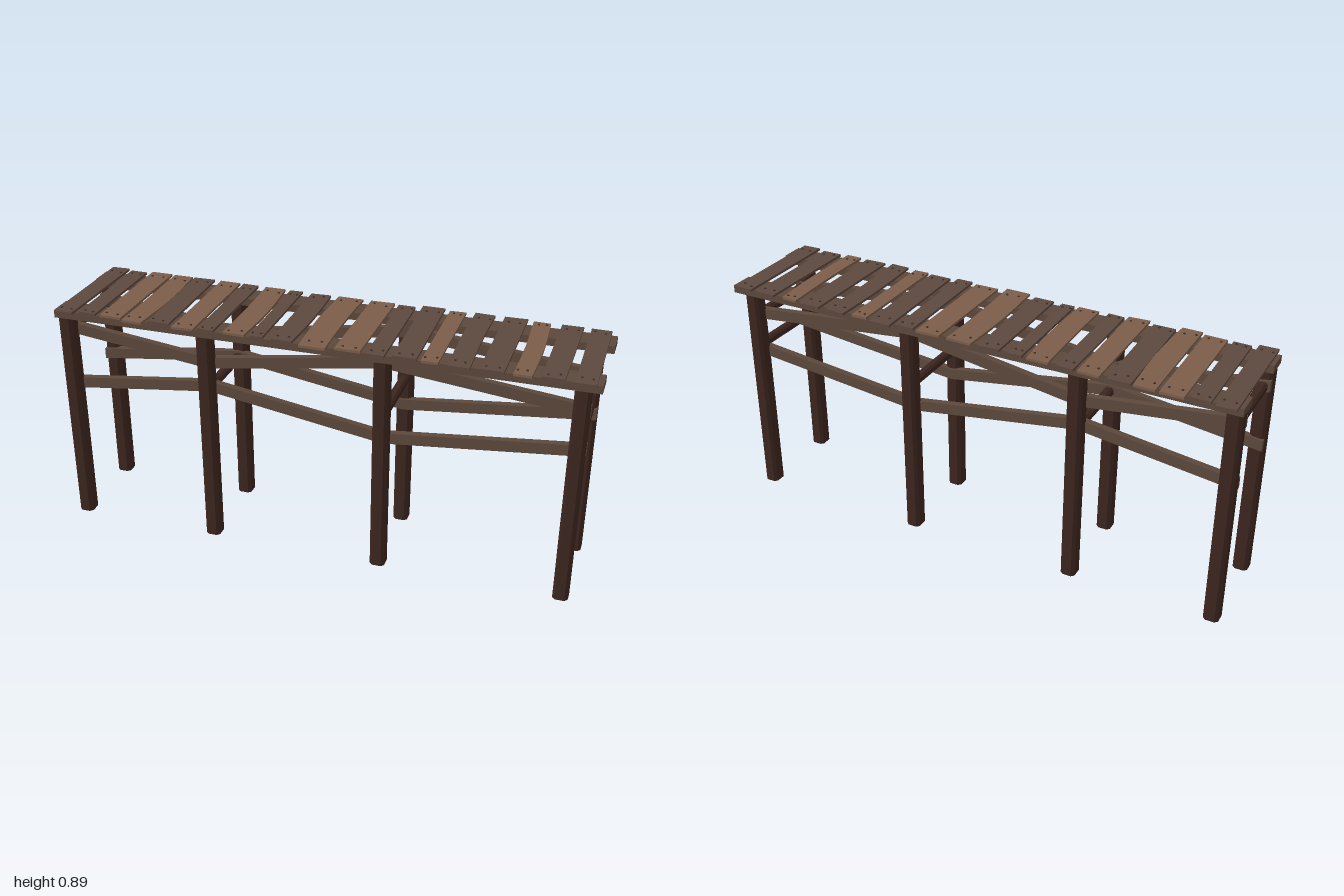
import * as THREE from 'three';

const mat = (color) => new THREE.MeshStandardMaterial({ color, flatShading: true });
const postMat = mat(0x3c251f);
const beamMat = mat(0x5c483c);
const darkPlankMat = mat(0x5c483e);
const lightPlankMat = mat(0x7b5d49);
const nailMat = mat(0x3a302b);

const postX = [-0.968, -0.415, 0.25, 0.936];
const postZ = [0.164, -0.168];

// Deck planks: middle x and width, in order along the pier
const planks = [
  [-0.95, 0.07], [-0.863, 0.066], [-0.768, 0.084], [-0.675, 0.076], [-0.583, 0.084],
  [-0.477, 0.08], [-0.393, 0.062], [-0.288, 0.08], [-0.204, 0.05], [-0.105, 0.076],
  [0.012, 0.096], [0.136, 0.092], [0.234, 0.064], [0.333, 0.084], [0.424, 0.06],
  [0.525, 0.074], [0.636, 0.084], [0.735, 0.062], [0.839, 0.078], [0.943, 0.072],
];
const lightPlanks = [2, 3, 5, 7, 10, 11, 14, 17];
const bentPlanks = [3, 7, 9, 10, 15, 17];

let seed = 7;
const jitter = (size) => {
  seed = (seed * 16807) % 2147483647;
  return (seed / 2147483647 - 0.5) * 2 * size;
};

function extrude(points, depth) {
  const shape = new THREE.Shape(points.map(([x, y]) => new THREE.Vector2(x, y)));
  return new THREE.ExtrudeGeometry(shape, { depth, bevelEnabled: false });
}

// Rectangle with its four corners cut off
function cutRect(w, h, c) {
  const a = w / 2, b = h / 2;
  return [[a, -b + c], [a, b - c], [a - c, b], [-a + c, b],
    [-a, b - c], [-a, -b + c], [-a + c, -b], [a - c, -b]];
}

function add(parent, name, geometry, material, x = 0, y = 0, z = 0) {
  const mesh = new THREE.Mesh(geometry, material);
  mesh.name = name;
  mesh.position.set(x, y, z);
  parent.add(mesh);
}

// Board following a bent line, with a constant upright height
function braceGeometry(line, height, thickness) {
  const lower = line.map(([x, y]) => [x, y - height / 2]);
  const upper = line.map(([x, y]) => [x, y + height / 2]).reverse();
  return extrude([...lower, ...upper], thickness);
}

// Uneven board lying flat: it leans a little, and a bent one also bows and swells
function plankGeometry(w, bent) {
  const back = -0.232 + jitter(0.01), front = 0.219 + jitter(0.012);
  const lean = 0.004 + jitter(0.006);
  const bow = bent ? jitter(0.009) : 0, swell = bent ? 0.008 + jitter(0.008) : 0;
  const left = [], right = [];
  for (const t of [0, 0.3, 0.5, 0.7, 1]) {
    const middle = Math.sin(Math.PI * t);
    const c = lean * (t - 0.5) + bow * middle;
    const h = (w + swell * middle) / 2;
    const y = -THREE.MathUtils.lerp(back, front, t);
    left.push([c - h, y + jitter(0.003)]);
    right.unshift([c + h, y + jitter(0.003)]);
  }
  return extrude([...left, ...right], 0.009).rotateX(-Math.PI / 2);
}

export function createModel() {
  const model = new THREE.Group();
  model.name = 'woodenPier';

  // Posts
  const postGeo = extrude(cutRect(0.056, 0.061, 0.011), 0.846).rotateX(-Math.PI / 2);
  for (const x of postX) for (const z of postZ) add(model, 'post', postGeo, postMat, x, 0, z);

  // Long beams carrying the deck
  const beamGeo = new THREE.BoxGeometry(2, 0.029, 0.09);
  for (const z of [0.16, -0.164]) add(model, 'deckBeam', beamGeo, beamMat, 0, 0.8585, z);

  // Zigzag braces on the inner side of the posts
  const braceX = [-0.994, -0.415, 0.25, 0.965];
  const braceY = { upperBrace: [0.788, 0.718, 0.819, 0.743], lowerBrace: [0.552, 0.624, 0.521, 0.595] };
  for (const [name, ys] of Object.entries(braceY)) {
    const geo = braceGeometry(braceX.map((x, i) => [x, ys[i]]), 0.042, 0.026);
    for (const z of [0.123, -0.153]) add(model, name, geo, beamMat, 0, 0, z);
  }

  // Crossbars joining each pair of posts
  const barGeo = extrude(cutRect(0.034, 0.034, 0.008), 0.296).translate(0, 0, -0.148);
  const bars = [[0, 0.785], [1, 0.62], [2, 0.62], [3, 0.62], [3, 0.745]];
  for (const [i, y] of bars) add(model, 'crossbar', barGeo, postMat, postX[i], y, 0);

  // Deck planks, each with two nails at either end
  const nailGeo = new THREE.CylinderGeometry(0.004, 0.005, 0.004, 6);
  planks.forEach(([x, w], i) => {
    const plank = new THREE.Group();
    plank.name = 'deckPlank';
    plank.position.set(x, 0.873, 0);
    model.add(plank);
    const wood = lightPlanks.includes(i) ? lightPlankMat : darkPlankMat;
    add(plank, 'board', plankGeometry(w, bentPlanks.includes(i)), wood);
    for (const z of [-0.197, 0.188]) {
      for (const s of [-1, 1]) {
        add(plank, 'nail', nailGeo, nailMat, s * w * 0.27 + jitter(0.004), 0.0102, z + jitter(0.008));
      }
    }
  });
  return model;
}
